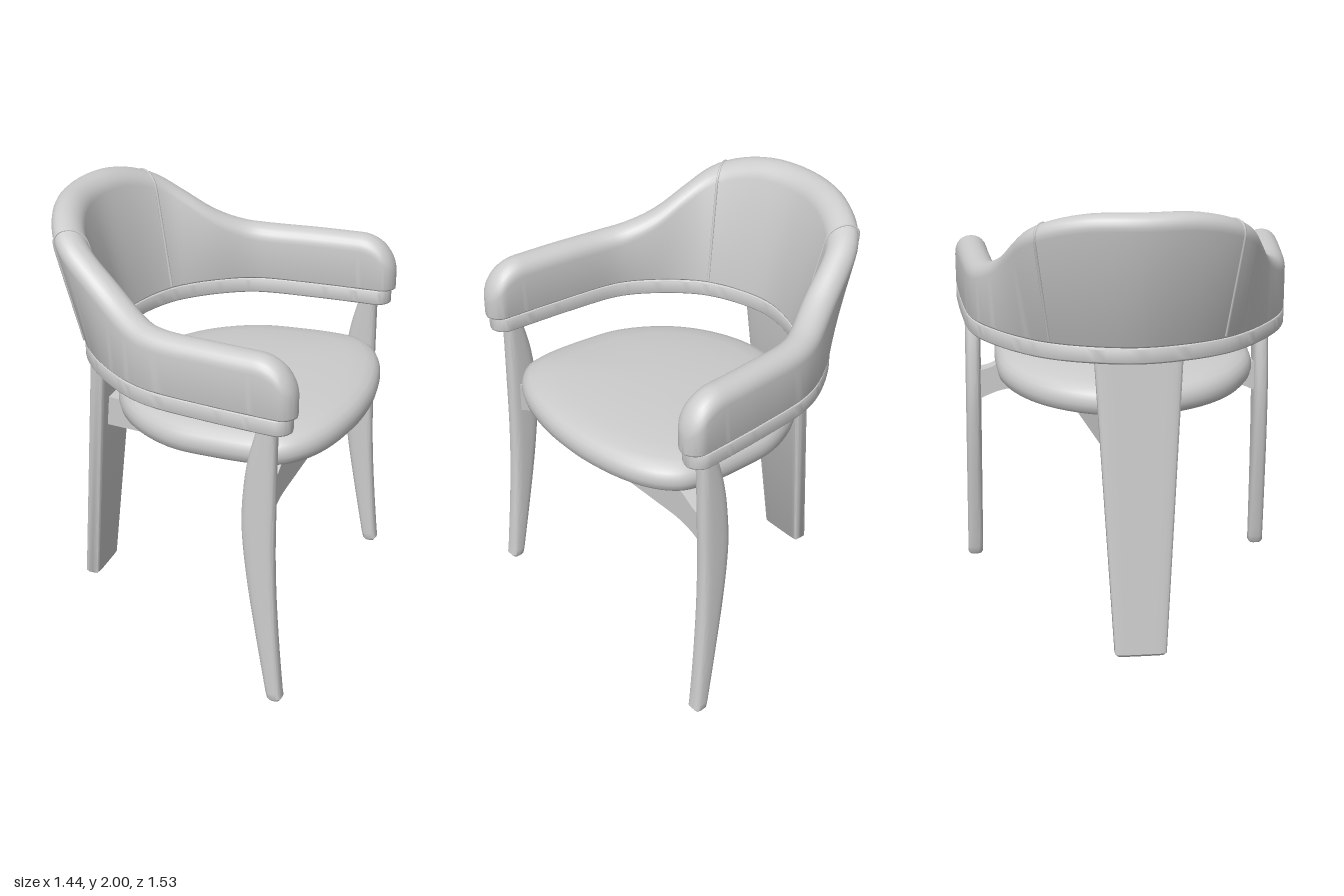
import * as THREE from 'three';
import { toCreasedNormals } from 'three/addons/utils/BufferGeometryUtils.js';

const V = (x, y, z) => new THREE.Vector3(x, y, z);

// Skin a list of rings (each counter-clockwise about the direction of travel) and cap both ends
function loft(rings, crease = 0.7) {
  const n = rings[0].length, pos = [], idx = [];
  rings.forEach(r => r.forEach(p => pos.push(p.x, p.y, p.z)));
  for (let i = 0; i < rings.length - 1; i++) {
    for (let j = 0; j < n; j++) {
      const a = i * n + j, b = i * n + (j + 1) % n;
      idx.push(a, b, b + n, a, b + n, a + n);
    }
  }
  [0, rings.length - 1].forEach((k, end) => {
    const c = rings[k].reduce((s, p) => s.add(p), V(0, 0, 0)).divideScalar(n);
    const ci = pos.length / 3;
    pos.push(c.x, c.y, c.z);
    for (let j = 0; j < n; j++) {
      const a = k * n + j, b = k * n + (j + 1) % n;
      end ? idx.push(ci, a, b) : idx.push(ci, b, a);
    }
  });
  const g = new THREE.BufferGeometry();
  g.setAttribute('position', new THREE.Float32BufferAttribute(pos, 3));
  g.setIndex(idx);
  return toCreasedNormals(g, crease);
}

// Horizontal rounded-rectangle ring
function legRing(y, cx, cz, hx, hz, power, n = 32) {
  const f = v => Math.sign(v) * Math.abs(v) ** power;
  return Array.from({ length: n }, (_, i) => {
    const a = (i / n) * Math.PI * 2;
    return V(cx + hx * f(Math.cos(a)), y, cz - hz * f(Math.sin(a)));
  });
}

// U-shaped path of arms and backrest; y holds the height of the top edge
const half = [
  [0.625, 1.66, 0.70], [0.45, 1.66, 0.69], [0.25, 1.66, 0.675], [0, 1.66, 0.645],
  [-0.1, 1.675, 0.61], [-0.22, 1.735, 0.535], [-0.33, 1.84, 0.44],
  [-0.41, 1.935, 0.34], [-0.475, 1.99, 0.19], [-0.51, 2.0, 0],
];
const backPath = new THREE.CatmullRomCurve3([
  ...half.map(p => V(...p)),
  ...half.slice(0, -1).reverse().map(([x, y, z]) => V(x, y, -z)),
]);

// Upright cross-section of the shell at t, leaning outwards around the back
function shellRing(t, { y0, top, thick, end, bottomR, topR }) {
  const p = backPath.getPoint(t), d = backPath.getTangent(t).setY(0).normalize();
  const normal = V(0, 1, 0).cross(d);
  const tip = THREE.MathUtils.clamp((p.x - 0.56) / 0.065, 0, 1);
  const h = Math.max(0.004, thick * Math.sqrt(1 - tip * tip));
  let y1 = top ?? p.y;
  if (!top) {
    const e = THREE.MathUtils.clamp((p.x - 0.45) / 0.175, 0, 1);
    y1 -= 0.19 * (1 - Math.sqrt(1 - e * e));
  }
  const lean = 0.25 * THREE.MathUtils.smoothstep(p.y, 1.66, 1.95);
  if (p.x > 0) p.x *= end / 0.625;
  const rb = Math.min(bottomR, h), rt = Math.min(topR, h), ring = [];
  const corners = [[h - rb, y0 + rb, rb], [h - rt, y1 - rt, rt], [rt - h, y1 - rt, rt], [rb - h, y0 + rb, rb]];
  corners.forEach(([cx, cy, r], k) => {
    for (let i = 0; i <= 6; i++) {
      const a = (k - 1 + i / 6) * Math.PI / 2;
      const y = cy + r * Math.sin(a);
      const off = cx + r * Math.cos(a) + lean * Math.max(0, y - 1.4);
      ring.push(V(p.x + normal.x * off, y, p.z + normal.z * off));
    }
  });
  return ring;
}

function shell(opts, n = 130) {
  const rings = [];
  for (let i = 0; i <= n; i++) rings.push(shellRing((1 - Math.cos(Math.PI * i / n)) / 2, opts));
  return loft(rings, 0.9);
}

// Cushion: one outline scaled through a thickness profile, on a slight tilt
function seatGeometry() {
  const side = [[0.71, 0.16], [0.665, 0.36], [0.60, 0.49], [0.52, 0.565], [0.42, 0.592], [0.2, 0.595],
    [0, 0.572], [-0.2, 0.47], [-0.33, 0.335], [-0.415, 0.16]];
  const outline = new THREE.CatmullRomCurve3([
    V(0.72, 0, 0), ...side.map(([x, z]) => V(x, 0, -z)),
    V(-0.44, 0, 0), ...side.slice().reverse().map(([x, z]) => V(x, 0, z)),
  ], true).getPoints(96).slice(0, -1);
  const profile = [[0.4, 0], [0.93, 0], [0.965, 0.006], [0.988, 0.022], [1, 0.05], [0.997, 0.075],
    [0.98, 0.1], [0.945, 0.119], [0.88, 0.135], [0.75, 0.15], [0.5, 0.164], [0.25, 0.171], [0.05, 0.173]];
  const cx = 0.16;
  return loft(profile.map(([s, h]) => outline.map(p => {
    const x = cx + (p.x - cx) * s;
    return V(x, 1.057 + 0.036 * x + h, p.z * s);
  })), 1);
}

// Front leg: straight front edge, swelling at the rail and tapering to the foot
function frontLegGeometry(s) {
  const back = new THREE.SplineCurve([[0.525, 0], [0.47, 0.3], [0.42, 0.6], [0.393, 0.85], [0.4, 1.05], [0.422, 1.2], [0.46, 1.34]]
    .map(p => new THREE.Vector2(...p)));
  const rings = [];
  for (let i = 0; i <= 30; i++) {
    const { x, y } = back.getPoint(i / 30);
    const front = y < 0.85 ? 0.592 - 0.052 * Math.sin((y / 0.85) * Math.PI / 2) : 0.54;
    const cz = s * (0.714 - 0.02 * y / 1.34);
    if (i === 0) rings.push(legRing(0, (x + front) / 2, cz, (front - x) / 2 - 0.008, 0.029, 0.65));
    rings.push(legRing(i === 0 ? 0.012 : y, (x + front) / 2, cz, (front - x) / 2, 0.037, 0.65));
  }
  return loft(rings);
}

// Rear leg: one broad slab, wider at the top and leaning forward
function rearLegGeometry() {
  return loft([[0, 0.01], [0.012, 0], [1.35, 0]].map(([y, inset]) =>
    legRing(y, -0.62 + 0.082 * y, 0, 0.037 - inset, 0.115 + 0.056 * y - inset, 0.3, 48)));
}

// Front rail: board with arched ends between the front legs
function frontRailGeometry() {
  const s = new THREE.Shape();
  s.moveTo(-0.69, 0.85);
  s.bezierCurveTo(-0.62, 0.89, -0.56, 0.915, -0.46, 0.915);
  s.lineTo(0.46, 0.915);
  s.bezierCurveTo(0.56, 0.915, 0.62, 0.89, 0.69, 0.85);
  s.lineTo(0.69, 1.005);
  s.bezierCurveTo(0.57, 1.01, 0.57, 1.075, 0.48, 1.075);
  s.lineTo(-0.48, 1.075);
  s.bezierCurveTo(-0.57, 1.075, -0.57, 1.01, -0.69, 1.005);
  const g = new THREE.ExtrudeGeometry(s, { depth: 0.075, bevelEnabled: false, curveSegments: 10 });
  return toCreasedNormals(g.rotateY(Math.PI / 2).translate(0.425, 0, 0), 0.5);
}

// Side rail: rising board, sheared outwards towards the front
function sideRailGeometry(s) {
  const shape = new THREE.Shape();
  shape.moveTo(-0.54, 0.846);
  shape.lineTo(0.44, 0.937);
  shape.lineTo(0.44, 1.074);
  shape.lineTo(-0.12, 1.06);
  shape.bezierCurveTo(-0.25, 1.04, -0.3, 1.0, -0.54, 0.995);
  const g = new THREE.ExtrudeGeometry(shape, { depth: 0.08, bevelEnabled: false, curveSegments: 10 });
  g.translate(0, 0, -0.04);
  const p = g.attributes.position;
  for (let i = 0; i < p.count; i++) p.setZ(i, p.getZ(i) + s * (0.06 + (p.getX(i) + 0.5) * 0.217));
  return toCreasedNormals(g, 0.5);
}

export function createModel() {
  const chair = new THREE.Group();
  chair.name = 'armchair';
  const grey = new THREE.MeshStandardMaterial({ color: 0xcccccc });
  grey.name = 'lightGrey';
  const add = (name, geometry) => {
    const m = new THREE.Mesh(geometry, grey);
    m.name = name;
    chair.add(m);
  };

  // Padded shell and the wooden band under it
  const pad = { y0: 1.402, thick: 0.071, end: 0.625, bottomR: 0.014, topR: 0.068 };
  add('backrestAndArms', shell(pad));
  add('lowerBand', shell({ y0: 1.33, top: 1.404, thick: 0.071, end: 0.605, bottomR: 0.014, topR: 0.01 }));

  // Raised seams either side of the back panel
  [['leftSeam', 7 / 18], ['rightSeam', 11 / 18]].forEach(([name, t]) => {
    const line = shellRing(t, { ...pad, thick: 0.072 }).slice(6, 22);
    add(name, new THREE.TubeGeometry(new THREE.CatmullRomCurve3(line), 60, 0.006, 6));
  });

  add('seatCushion', seatGeometry());
  add('rearLeg', rearLegGeometry());
  add('frontRail', frontRailGeometry());
  [['left', 1], ['right', -1]].forEach(([side, s]) => {
    add(side + 'FrontLeg', frontLegGeometry(s));
    add(side + 'SideRail', sideRailGeometry(s));
  });
  return chair;
}
